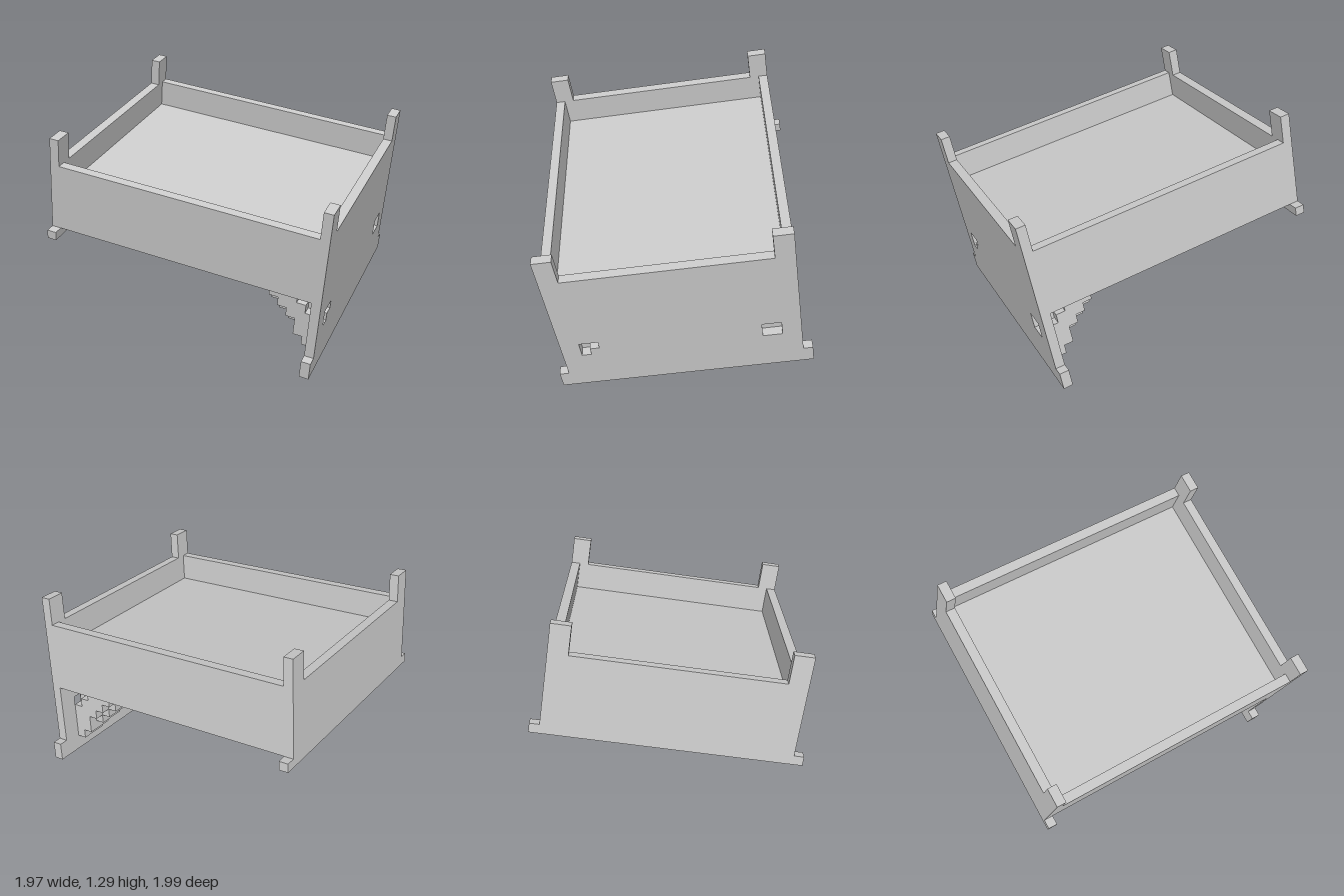
import * as THREE from 'three';

const S = 0.0488;          // block size
const MID = 0.1075;        // centre of the bed across its width
const HALF = 0.6075;       // half width
const FRONT = 0.632, BACK = -0.832;
const RIM = 0.951, POST = 1.096, FLOOR = 0.806, UNDER = 0.587;

export function createModel() {
  const model = new THREE.Group();
  const body = new THREE.Group();
  body.name = 'tiltedBed';
  body.rotation.set(0.197, 0.838, 0);
  model.add(body);
  const material = new THREE.MeshStandardMaterial({ color: 0xcccccc, flatShading: true });

  const add = (geometry, name, parent = body) => {
    const mesh = new THREE.Mesh(geometry, material);
    mesh.name = name;
    parent.add(mesh);
    return mesh;
  };
  const box = (x0, x1, y0, y1, z0, z1, name, parent) =>
    add(new THREE.BoxGeometry(x1 - x0, y1 - y0, z1 - z0), name, parent)
      .position.set((x0 + x1) / 2, (y0 + y1) / 2, (z0 + z1) / 2);

  // End panel outline with two raised posts and feet that stick out sideways
  const endPanel = (bottom, footTop, z, holes, name) => {
    const half = [
      [HALF + S, bottom], [HALF + S, footTop], [HALF, footTop],
      [HALF, POST], [HALF - 2 * S, POST], [HALF - 2 * S, RIM],
    ];
    const mirrored = half.map(([x, y]) => [-x, y]).reverse();
    const shape = new THREE.Shape([...half, ...mirrored].map(([x, y]) => new THREE.Vector2(x, y)));
    for (const hole of holes) {
      shape.holes.push(new THREE.Path(hole.map(([x, y]) => new THREE.Vector2(x, y))));
    }
    add(new THREE.ExtrudeGeometry(shape, { depth: S, bevelEnabled: false }), name)
      .position.set(MID, 0, z);
  };

  // Peepholes: a square one and an L-shaped one
  const near = HALF - 4 * S, far = HALF - 2 * S, mid = HALF - 3 * S;
  const h0 = 0.399, h1 = 0.443, h2 = 0.487;
  const squareHole = [[near, h0], [near, h2], [far, h2], [far, h0]];
  const cornerHole = [[-far, h0], [-far, h2], [-near, h2], [-near, h1], [-mid, h1], [-mid, h0]];
  endPanel(0.168, 0.264, FRONT - S, [squareHole, cornerHole], 'tallEndPanel');
  endPanel(0.54, UNDER, BACK, [], 'shortEndPanel');

  // Mattress slab and side rails between the end panels
  const z0 = BACK + S, z1 = FRONT - S;
  box(MID - HALF + S, MID + HALF - S, UNDER, FLOOR, z0, z1, 'mattress');
  for (const side of [-1, 1]) {
    const outer = MID + side * HALF, inner = outer - side * S;
    box(Math.min(outer, inner), Math.max(outer, inner), UNDER, RIM, z0, z1, 'sideRail');
  }

  // Blocky round struts that rise from the tall panel to the underside and widen
  for (const side of [-1, 1]) {
    const strut = new THREE.Group();
    strut.name = 'steppedStrut';
    body.add(strut);
    for (let i = 0; i < 6; i++) {
      const centreDrop = 4.75 - i, centreIn = 1.5 + 0.4 * i, radius = 2 + 0.35 * i;
      for (let k = 0; k < 8; k++) {
        const filled = [];
        for (let j = 0; j < 7; j++) {
          const d = ((j + 0.5 - centreDrop) / 2.3) ** 2 + ((k + 0.5 - centreIn) / radius) ** 2;
          if (d <= 1) filled.push(j);
        }
        if (!filled.length) continue;
        const xa = MID + side * (HALF - (k + 2) * S), xb = xa - side * S;
        box(Math.min(xa, xb), Math.max(xa, xb),
          UNDER - (filled[filled.length - 1] + 1) * S, UNDER - filled[0] * S,
          z1 - (i + 1) * S, z1 - i * S, 'strutBlock', strut);
      }
    }
  }
  return model;
}
